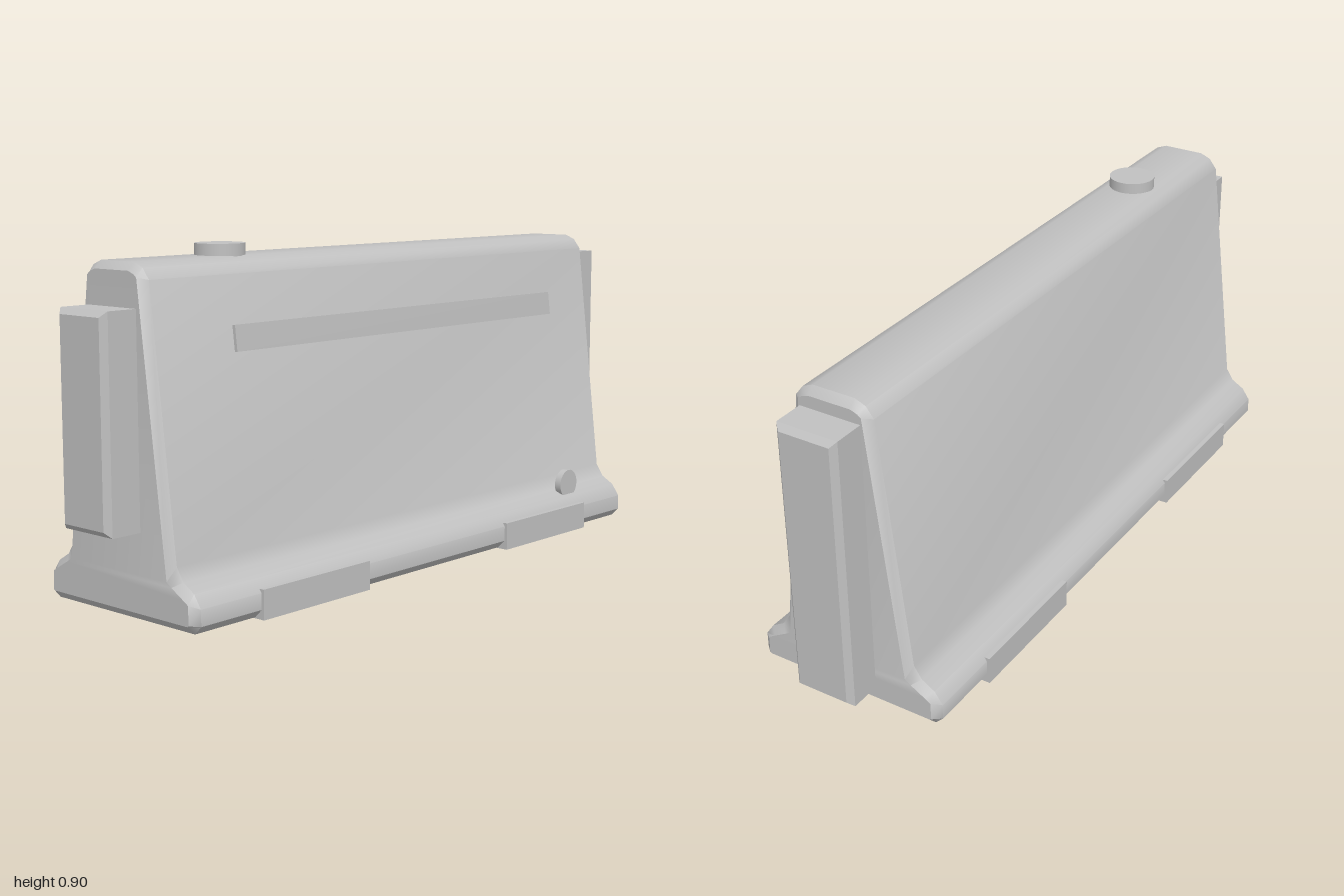
import * as THREE from 'three';
import { toCreasedNormals } from 'three/addons/utils/BufferGeometryUtils.js';

// Half profiles as [z, y], from the base up to the crown
const OUTER = [[0.253, 0.003], [0.275, 0.025], [0.275, 0.067], [0.252, 0.1], [0.215, 0.122],
  [0.193, 0.155], [0.112, 0.83], [0.09, 0.858], [0.06, 0.87]];
const INNER = [[0.249, 0.024], [0.253, 0.027], [0.252, 0.076], [0.235, 0.086], [0.195, 0.109],
  [0.178, 0.12], [0.09, 0.835], [0.08, 0.843], [0.06, 0.85]];

// Loft through four mirrored sections, with chamfered ends
function barrierGeometry() {
  const sections = [[-0.9, INNER], [-0.88, OUTER], [0.88, OUTER], [0.9, INNER]];
  const half = OUTER.length, n = half * 2;
  const positions = [], index = [];
  for (const [x, profile] of sections) {
    const mirrored = profile.map(([z, y]) => [-z, y]).reverse();
    for (const [z, y] of [...profile, ...mirrored]) positions.push(x, y, z);
  }
  const quad = (a, b, c, d) => index.push(a, b, c, a, c, d);
  for (let s = 0; s < sections.length - 1; s++) {
    for (let i = 0; i < n; i++) {
      const j = (i + 1) % n, a = s * n, b = a + n;
      quad(a + i, b + i, b + j, a + j);
    }
  }
  // End faces, as strips across the profile
  const last = (sections.length - 1) * n;
  for (let i = 0; i < half - 1; i++) {
    const m = n - 1 - i;
    quad(last + i, last + m, last + m - 1, last + i + 1);
    quad(i, i + 1, m - 1, m);
  }
  const geometry = new THREE.BufferGeometry();
  geometry.setAttribute('position', new THREE.Float32BufferAttribute(positions, 3));
  geometry.setIndex(index);
  return toCreasedNormals(geometry, 0.7);
}

// Upright connector block with bevelled edges, standing out along +x
function connectorGeometry(y0, y1) {
  const bevel = 0.015, w = 0.072;
  const shape = new THREE.Shape();
  shape.moveTo(-w, y0 + bevel);
  shape.lineTo(w, y0 + bevel);
  shape.lineTo(w, y1 - bevel);
  shape.lineTo(-w, y1 - bevel);
  shape.closePath();
  const geometry = new THREE.ExtrudeGeometry(shape, {
    depth: 0.095, bevelEnabled: true, bevelThickness: bevel, bevelSize: bevel, bevelSegments: 1,
  });
  return geometry.translate(0, 0, 0.89).rotateY(Math.PI / 2);
}

export function createModel() {
  const model = new THREE.Group();
  model.name = 'roadBarrier';
  const grey = new THREE.MeshStandardMaterial({ color: 0xc0c0c0 });
  grey.name = 'grey';

  const add = (name, geometry, x = 0, y = 0, z = 0) => {
    const mesh = new THREE.Mesh(geometry, grey);
    mesh.name = name;
    mesh.position.set(x, y, z);
    model.add(mesh);
    return mesh;
  };

  add('barrierBody', barrierGeometry());

  // End connectors: tall on the left, shorter on the right
  add('leftConnector', connectorGeometry(0.057, 0.817));
  add('rightConnector', connectorGeometry(0.225, 0.762).rotateY(Math.PI));

  // Blocks through the base, showing on both long sides
  for (const side of [-1, 1]) {
    add(side < 0 ? 'rightFoot' : 'leftFoot', new THREE.BoxGeometry(0.387, 0.077, 0.566), side * 0.488, 0.0385, 0);
  }

  // Filler cap on the crown
  add('fillerCap', new THREE.CylinderGeometry(0.065, 0.065, 0.035, 32), -0.547, 0.8825, 0);

  // Drain plug low on the front
  add('drainPlug', new THREE.CylinderGeometry(0.042, 0.042, 0.02, 32).rotateX(Math.PI / 2), 0.65, 0.135, 0.236);

  // Strip following the slope of the front
  add('frontStrip', new THREE.BoxGeometry(1.3, 0.066, 0.009), 0, 0.677, 0.159).rotation.x = -0.119;

  return model;
}
